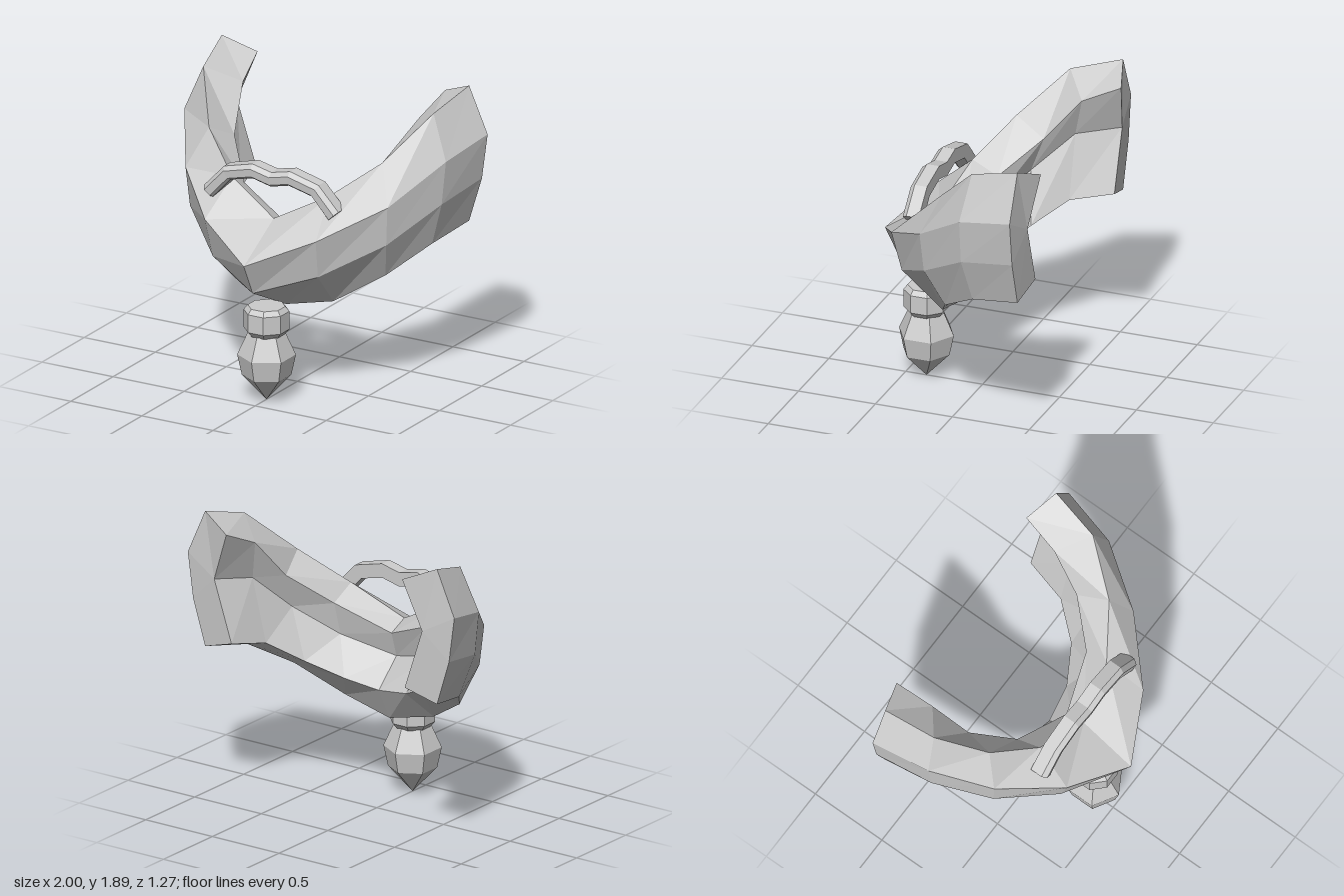
import * as THREE from 'three';

// Joins equal-length rings of [x, y, z] points into a closed faceted body.
// The ends are capped with a fan around ring point `hub`.
function loft(rings, hub) {
  const n = rings[0].length;
  const last = (rings.length - 1) * n;
  const index = [];
  for (let i = 0; i < rings.length - 1; i++) {
    for (let j = 0; j < n; j++) {
      const a = i * n + j, b = i * n + (j + 1) % n, c = b + n, d = a + n;
      index.push(a, d, c, a, c, b);
    }
  }
  for (let k = 1; k < n - 1; k++) {
    const p = (hub + k) % n, q = (hub + k + 1) % n;
    index.push(hub, p, q, last + hub, last + q, last + p);
  }
  const geometry = new THREE.BufferGeometry();
  geometry.setAttribute('position', new THREE.Float32BufferAttribute(rings.flat(2), 3));
  geometry.setIndex(index);
  return faceted(geometry);
}

function faceted(geometry) {
  const flat = geometry.toNonIndexed();
  flat.computeVertexNormals();
  return flat;
}

export function createModel() {
  const grey = new THREE.MeshStandardMaterial({ color: 0xcccccc, flatShading: true });
  grey.name = 'light grey';
  const model = new THREE.Group();
  const add = (name, geometry, parent = model) => {
    const mesh = new THREE.Mesh(geometry, grey);
    mesh.name = name;
    parent.add(mesh);
    return mesh;
  };

  // Collar: sections from the left tip to the middle, each listing
  // top ridge, outer upper, outer middle, outer bottom, inner bottom, groove, inner top
  const half = [
    [[0.87, 1.89, -0.57], [1.0, 1.6, -0.57], [0.96, 1.31, -0.57], [0.87, 1.02, -0.57],
      [0.65, 1.09, -0.6], [0.78, 1.48, -0.6], [0.66, 1.8, -0.64]],
    [[0.81, 1.8, -0.25], [0.92, 1.52, -0.21], [0.89, 1.24, -0.21], [0.8, 0.96, -0.25],
      [0.59, 1.03, -0.33], [0.69, 1.43, -0.33], [0.62, 1.69, -0.4]],
    [[0.61, 1.53, 0.02], [0.71, 1.29, 0.13], [0.69, 1.04, 0.11], [0.62, 0.8, 0.0],
      [0.44, 0.89, -0.14], [0.57, 1.2, -0.09], [0.55, 1.43, -0.18]],
    [[0.34, 1.32, 0.2], [0.39, 1.11, 0.44], [0.37, 0.86, 0.38], [0.33, 0.62, 0.13],
      [0.23, 0.79, -0.02], [0.34, 1.02, 0.09], [0.35, 1.23, 0.04]],
    [[0, 1.14, 0.28], [0, 0.94, 0.635], [0, 0.735, 0.53], [0, 0.54, 0.13],
      [0, 0.75, 0.02], [0, 0.92, 0.2], [0, 1.08, 0.15]],
  ];
  const mirrored = half.slice(0, -1).reverse().map(r => r.map(([x, y, z]) => [-x, y, z]));
  add('collar', loft([...half, ...mirrored], 5));

  // Handle: a bevelled bar swept along an arched path
  const path = [[0.44, 1.245], [0.31, 1.385], [0.13, 1.43], [0, 1.4],
    [-0.13, 1.43], [-0.31, 1.385], [-0.44, 1.245]].map(p => new THREE.Vector2(...p));
  const bar = [[0.23, 0.045], [0.31, 0.045], [0.34, 0.02], [0.335, -0.03], [0.315, -0.045], [0.23, -0.045]];
  const bars = path.map((p, i) => {
    const before = path[Math.max(i - 1, 0)], after = path[Math.min(i + 1, path.length - 1)];
    const t = after.clone().sub(before).normalize();
    return bar.map(([z, off]) => [p.x + t.y * off, p.y - t.x * off, z]);
  });
  add('handle', loft(bars, 0));

  // Pendant: eight-sided cap above a six-sided pointed drop
  const pendant = new THREE.Group();
  pendant.name = 'pendant';
  pendant.position.z = 0.365;
  model.add(pendant);
  const turned = (profile, sides) =>
    faceted(new THREE.LatheGeometry(profile.map(p => new THREE.Vector2(...p)), sides));
  add('pendantDrop', turned([[0, 0], [0.15, 0.16], [0.178, 0.29], [0.115, 0.43], [0, 0.43]], 6), pendant);
  const cap = add('pendantCap',
    turned([[0, 0.425], [0.11, 0.425], [0.14, 0.46], [0.14, 0.575], [0.115, 0.605], [0, 0.605]], 8), pendant);
  cap.rotation.y = Math.PI / 8;

  return model;
}
